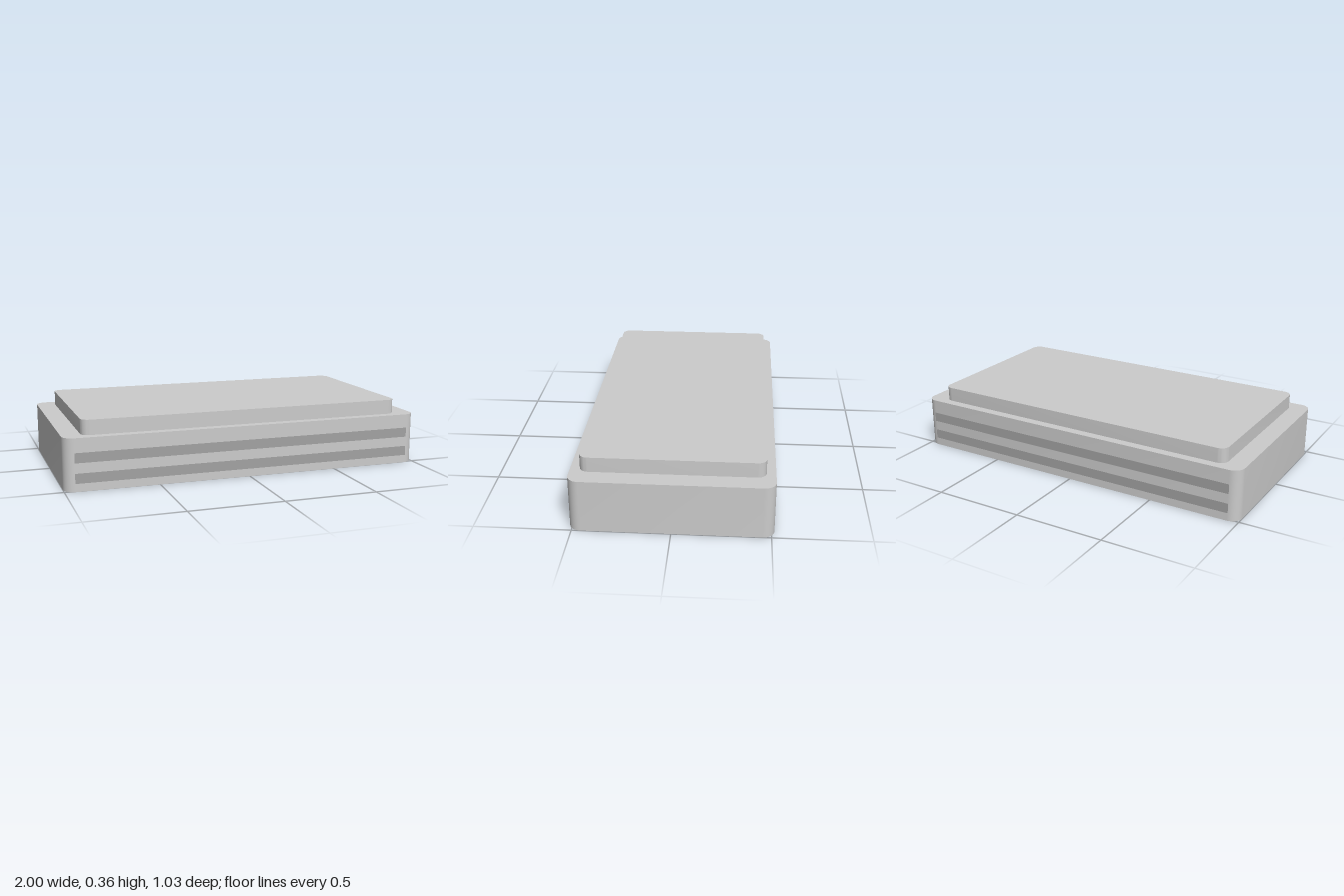
import * as THREE from 'three';
import { toCreasedNormals } from 'three/addons/utils/BufferGeometryUtils.js';

// Counter-clockwise outline of a rounded rectangle with half sizes w, d and radius r
function outline(w, d, r, steps = 8) {
  const points = [];
  [[1, 1], [-1, 1], [-1, -1], [1, -1]].forEach(([sx, sy], corner) => {
    for (let i = 0; i <= steps; i++) {
      const a = (corner + i / steps) * Math.PI / 2;
      points.push(new THREE.Vector2(sx * (w - r) + r * Math.cos(a), sy * (d - r) + r * Math.sin(a)));
    }
  });
  return points;
}

// Open band of upright walls following an outline
function wallGeometry(points, height) {
  const positions = [], index = [], n = points.length;
  points.forEach((p, i) => {
    positions.push(p.x, p.y, 0, p.x, p.y, height);
    const a = 2 * i, b = 2 * ((i + 1) % n);
    index.push(a, b, b + 1, a, b + 1, a + 1);
  });
  const geometry = new THREE.BufferGeometry();
  geometry.setAttribute('position', new THREE.Float32BufferAttribute(positions, 3));
  geometry.setIndex(index);
  return toCreasedNormals(geometry, 0.6);
}

export function createModel() {
  const model = new THREE.Group();
  model.name = 'steppedBase';
  const body = new THREE.MeshStandardMaterial({ color: 0xcccccc, side: THREE.DoubleSide });
  body.name = 'light grey';
  const dark = new THREE.MeshStandardMaterial({ color: 0xa2a2a2 });
  dark.name = 'mid grey';

  const add = (name, geometry, material, y) => {
    const mesh = new THREE.Mesh(geometry, material);
    mesh.name = name;
    mesh.position.y = y;
    model.add(mesh);
    return mesh;
  };

  const height = 0.28, depth = 0.515;
  const outer = outline(1, depth, 0.06);
  const inner = outline(0.897, 0.467, 0.045);

  // Thin walls, open underneath
  add('walls', wallGeometry(outer, height).rotateX(-Math.PI / 2), body, 0);

  // Ledge around the raised block
  const ledge = new THREE.Shape(outer);
  ledge.holes.push(new THREE.Path(inner));
  add('ledge', new THREE.ShapeGeometry(ledge).rotateX(-Math.PI / 2), body, height);

  // Raised block on top
  const block = new THREE.ExtrudeGeometry(new THREE.Shape(inner), { depth: 0.08, bevelEnabled: false });
  add('raisedTop', toCreasedNormals(block, 0.6).rotateX(-Math.PI / 2), body, height);

  // Two long stripes on both the front and the back
  for (const side of [1, -1]) {
    for (const y of [0.07, 0.177]) {
      const stripe = add(side > 0 ? 'frontStripe' : 'backStripe', new THREE.PlaneGeometry(1.89, 0.053), dark, y);
      stripe.position.z = side * (depth + 0.002);
      if (side < 0) stripe.rotation.y = Math.PI;
    }
  }
  return model;
}
